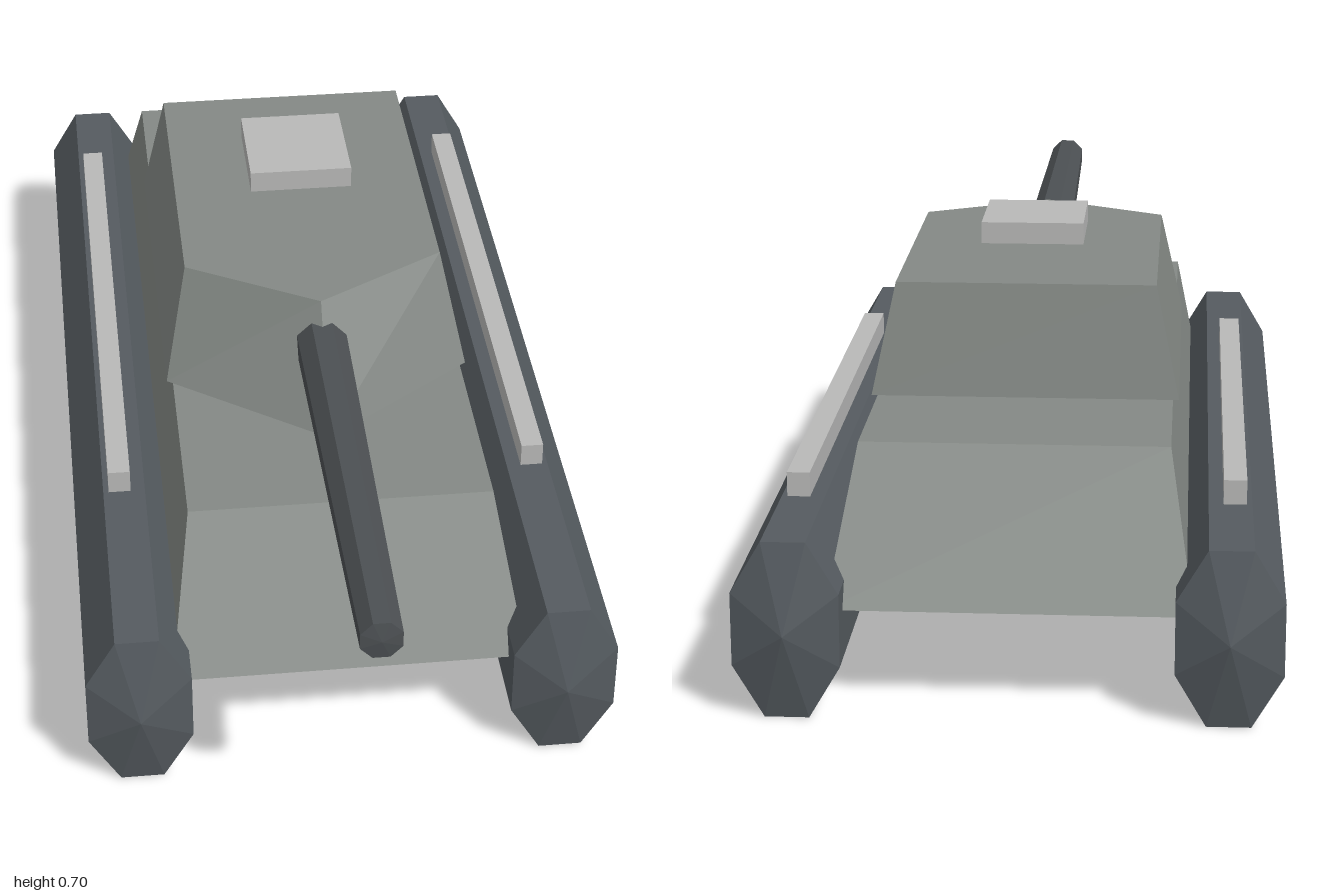
import * as THREE from 'three';

const material = (name, color) => {
  const m = new THREE.MeshStandardMaterial({ color, flatShading: true });
  m.name = name;
  return m;
};

// Solid between two horizontal outlines of [x, z] corners, flat faced
function frustum(bottom, y0, top, y1) {
  const n = bottom.length;
  const low = bottom.map(([x, z]) => [x, y0, z]);
  const high = top.map(([x, z]) => [x, y1, z]);
  const pos = [];
  for (let i = 0; i < n; i++) {
    const j = (i + 1) % n;
    pos.push(...low[i], ...low[j], ...high[j], ...low[i], ...high[j], ...high[i]);
  }
  for (let i = 1; i < n - 1; i++) {
    pos.push(...high[0], ...high[i], ...high[i + 1]);
    pos.push(...low[0], ...low[i + 1], ...low[i]);
  }
  const g = new THREE.BufferGeometry();
  g.setAttribute('position', new THREE.Float32BufferAttribute(pos, 3));
  g.computeVertexNormals();
  return g;
}

const rectangle = (x, z) => [[-x, z], [x, z], [x, -z], [-x, -z]];

// Rectangle with a pointed nose at the front
const nosed = (x, shoulder, nose, rear) =>
  [[-x, shoulder], [0, nose], [x, shoulder], [x, rear], [-x, rear]];

// Eight-sided bar along z from [apothem, z] points, with flats facing the axes
function octagonBar(profile) {
  const k = 1 / Math.cos(Math.PI / 8);
  const g = new THREE.LatheGeometry(profile.map(([r, z]) => new THREE.Vector2(r * k, z)), 8);
  return g.rotateY(Math.PI / 8).rotateX(Math.PI / 2);
}

export function createModel() {
  const armour = material('armour grey', 0x848985);
  const track = material('track slate', 0x555b60);
  const barrel = material('barrel grey', 0x4c5053);
  const trim = material('light grey', 0xb9b9b8);

  const vehicle = new THREE.Group();
  vehicle.name = 'vehicle';
  const add = (name, geometry, mat) => {
    const mesh = new THREE.Mesh(geometry, mat);
    mesh.name = name;
    vehicle.add(mesh);
    return mesh;
  };

  // Hull and turret
  add('hull', frustum(rectangle(0.31, 0.84), 0.175, rectangle(0.267, 0.688), 0.425), armour);
  add('turret', frustum(nosed(0.278, 0.302, 0.505, -0.402), 0.425,
    nosed(0.235, 0.232, 0.368, -0.367), 0.628), armour);

  // Hatch plate hovering above the turret
  add('hatch', new THREE.BoxGeometry(0.19, 0.04, 0.205), trim).position.set(0, 0.677, -0.07);

  // Gun, tapering and slightly raised
  const gun = add('gun', octagonBar([[0, -0.03], [0.045, -0.02], [0.034, 0.835], [0, 0.84]]), barrel);
  gun.position.set(0, 0.545, 0.37);
  gun.rotation.x = -0.02;

  // Tracks with shallow pointed ends, and the rails on top of them
  for (const [side, s] of [['left', 1], ['right', -1]]) {
    const bar = octagonBar([[0, -0.92], [0.155, -0.886], [0.155, 0.886], [0, 0.92]]);
    add(side + 'Track', bar.scale(0.091 / 0.155, 1, 1), track).position.set(s * 0.37, 0.155, 0);
    add(side + 'Rail', new THREE.BoxGeometry(0.04, 0.045, 1.118), trim)
      .position.set(s * 0.378, 0.331, -0.085);
  }

  // The whole vehicle stands turned towards its left
  vehicle.rotation.y = THREE.MathUtils.degToRad(55.1);
  vehicle.position.set(-0.009, 0, -0.006);

  const model = new THREE.Group();
  model.name = 'tank';
  model.add(vehicle);
  return model;
}
